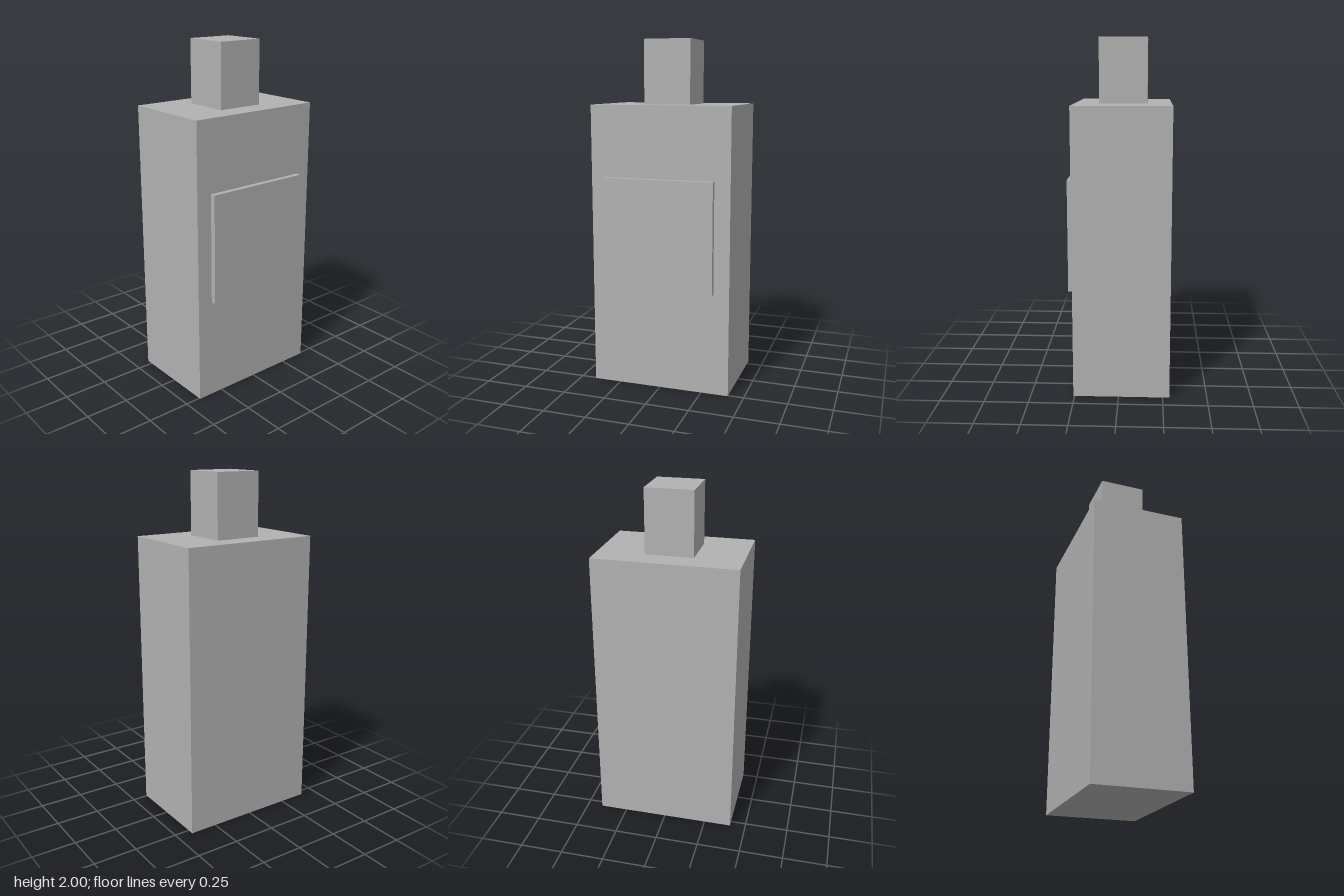
import * as THREE from 'three';

export function createModel() {
  const model = new THREE.Group();
  model.name = 'bottle';

  const grey = new THREE.MeshStandardMaterial({ color: 0xb2b2b2 });
  grey.name = 'plain grey';

  // Adds a box centred on x = 0, spanning the given y and z ranges
  const addBox = (name, width, [y0, y1], [z0, z1]) => {
    const mesh = new THREE.Mesh(new THREE.BoxGeometry(width, y1 - y0, z1 - z0), grey);
    mesh.name = name;
    mesh.position.set(0, (y0 + y1) / 2, (z0 + z1) / 2);
    model.add(mesh);
  };

  // Tall square-shouldered body
  addBox('body', 0.818, [0, 1.636], [-0.288, 0.257]);
  // Square stopper on top
  addBox('stopper', 0.273, [1.636, 2], [-0.152, 0.12]);
  // Raised label on the front face
  addBox('label', 0.636, [0.591, 1.227], [0.257, 0.288]);

  return model;
}
